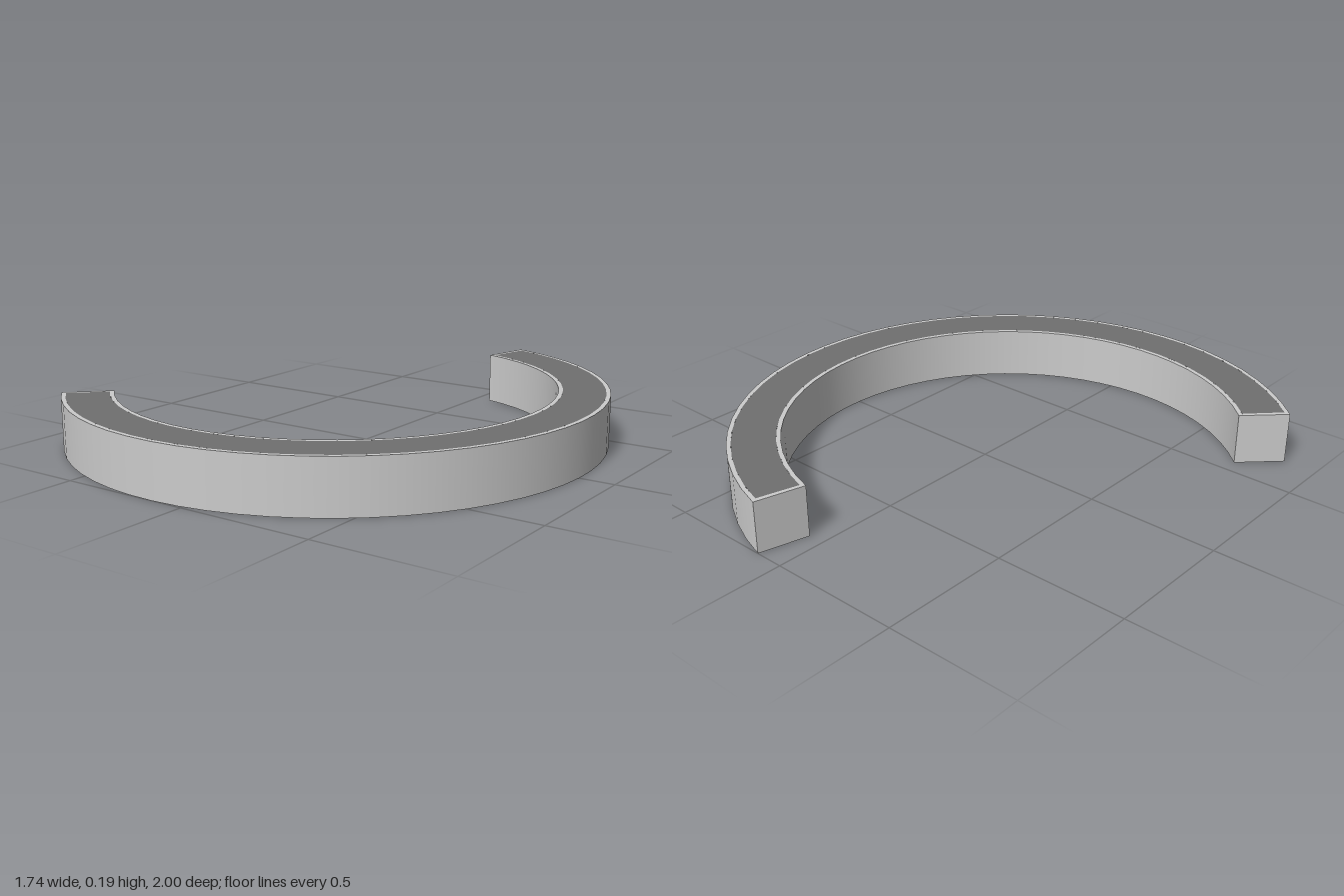
import * as THREE from 'three';

export function createModel() {
  const group = new THREE.Group();
  group.name = 'curvedChannel';

  const outer = 1.016, inner = 0.827, height = 0.195, rim = 0.016;
  const start = THREE.MathUtils.degToRad(-45.6);
  const end = THREE.MathUtils.degToRad(165.5);
  const inset = rim / ((outer + inner) / 2);
  const grey = new THREE.MeshStandardMaterial({ color: 0xcccccc, side: THREE.DoubleSide });
  const dark = new THREE.MeshStandardMaterial({ color: 0x707070, side: THREE.DoubleSide });

  const add = (name, geometry, material = grey) => {
    const mesh = new THREE.Mesh(geometry, material);
    mesh.name = name;
    group.add(mesh);
    return mesh;
  };

  // A strip swept around the arc, from one (radius, height) point to another
  const sweep = (name, from, to, a = start, b = end, segments = 36, material = grey) =>
    add(name, new THREE.LatheGeometry(
      [new THREE.Vector2(...from), new THREE.Vector2(...to)], segments, a, b - a), material);

  // Upright walls, open underneath
  sweep('outerWall', [outer, 0], [outer, height]);
  sweep('innerWall', [inner, height], [inner, 0]);

  // Pale border around the top
  sweep('outerRim', [outer, height], [outer - rim, height]);
  sweep('innerRim', [inner + rim, height], [inner, height]);
  for (const [a, b] of [[start, start + inset], [end - inset, end]]) {
    sweep('endRim', [outer - rim, height], [inner + rim, height], a, b, 1);
  }

  // Dark top panel inside the border
  sweep('topPanel', [outer - rim, height], [inner + rim, height],
    start + inset, end - inset, 36, dark);

  // Flat end caps
  const middle = (outer + inner) / 2;
  for (const [phi, turn] of [[start, -Math.PI / 2], [end, Math.PI / 2]]) {
    const cap = add('endCap', new THREE.PlaneGeometry(outer - inner, height));
    cap.position.set(middle * Math.sin(phi), height / 2, middle * Math.cos(phi));
    cap.rotation.y = phi + turn;
  }

  group.position.set(-0.145, 0, -0.016);
  const model = new THREE.Group();
  model.add(group);
  return model;
}
